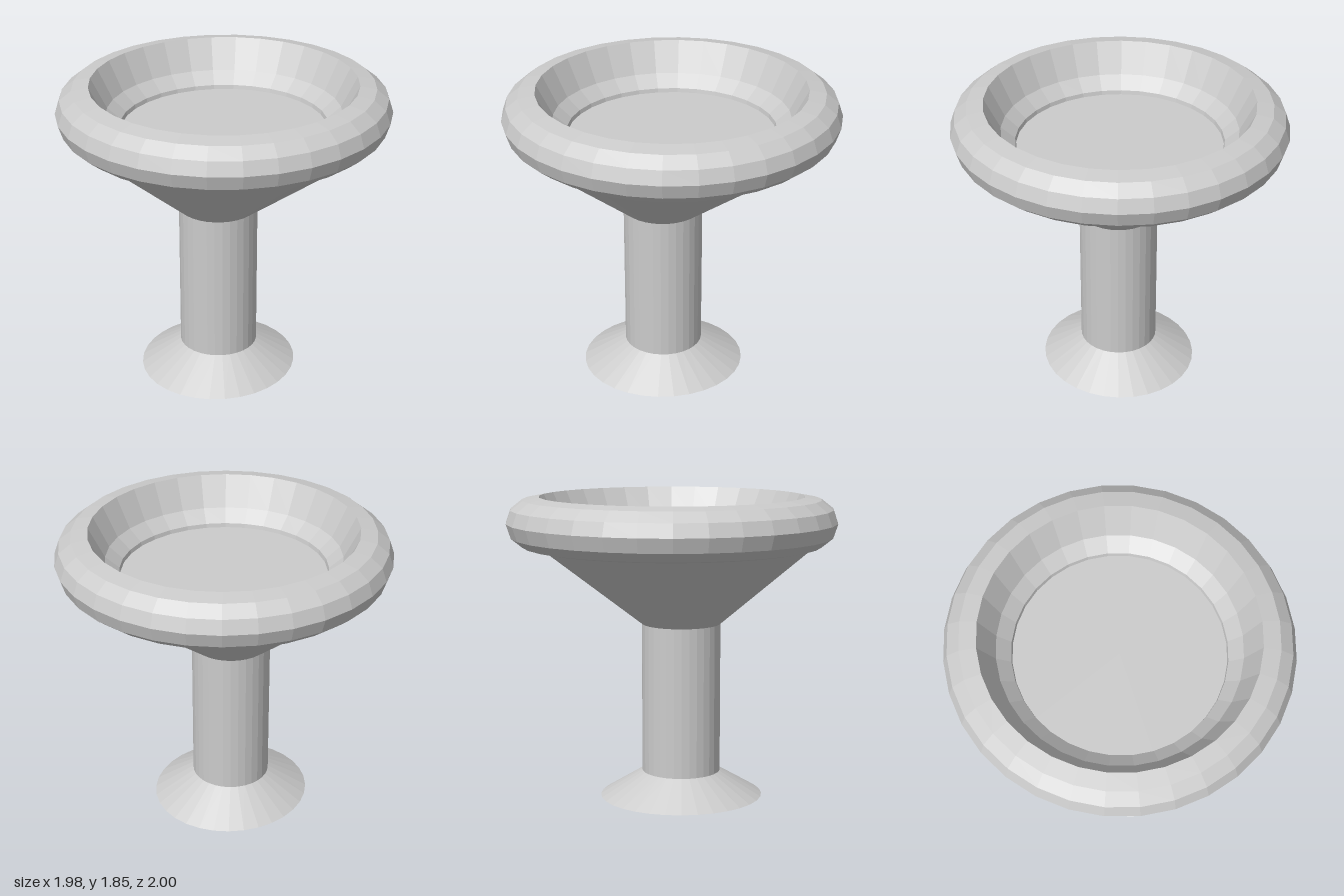
import * as THREE from 'three';

const SEGMENTS = 32;
const material = new THREE.MeshStandardMaterial({ color: 0xcccccc, flatShading: true, side: THREE.DoubleSide });

// Frustum between two elliptical rings, each given as centre x, y, z and radii rx, rz
function frustum(name, bottom, top, open = true) {
  const geometry = new THREE.CylinderGeometry(1, 1, 1, SEGMENTS, 1, open);
  const p = geometry.attributes.position;
  for (let i = 0; i < p.count; i++) {
    const [cx, cy, cz, rx, rz] = p.getY(i) > 0 ? top : bottom;
    p.setXYZ(i, cx + p.getX(i) * rx, cy, cz + p.getZ(i) * rz);
  }
  geometry.computeVertexNormals();
  const mesh = new THREE.Mesh(geometry, material);
  mesh.name = name;
  return mesh;
}

export function createModel() {
  const group = new THREE.Group();
  group.name = 'pedestalBasin';

  // Rounded rim with the concave basin and its flat floor
  const profile = [
    [0.8, 1.545], [0.86, 1.546], [0.905, 1.556], [0.972, 1.61], [1, 1.695],
    [0.972, 1.775], [0.9, 1.832], [0.8, 1.85],
    [0.705, 1.665], [0.622, 1.595], [0.617, 1.57], [0, 1.57],
  ].map(([r, y]) => new THREE.Vector2(r, y));
  const basin = new THREE.Mesh(new THREE.LatheGeometry(profile, SEGMENTS), material);
  basin.name = 'basin';
  basin.scale.x = 0.988;
  group.add(basin);

  // Rings of the slightly off-centre pedestal, from the ground up
  const ground = [-0.013, 0, 0.056, 0.475, 0.5];
  const ankle = [-0.012, 0.155, 0.055, 0.238, 0.24];
  const neck = [-0.012, 1.075, 0.055, 0.238, 0.24];
  const underRim = [0.015, 1.55, 0.03, 0.842, 0.832];

  group.add(
    frustum('base', ground, ankle, false),
    frustum('stem', ankle, neck),
    frustum('bowlUnderside', neck, underRim),
  );
  return group;
}
